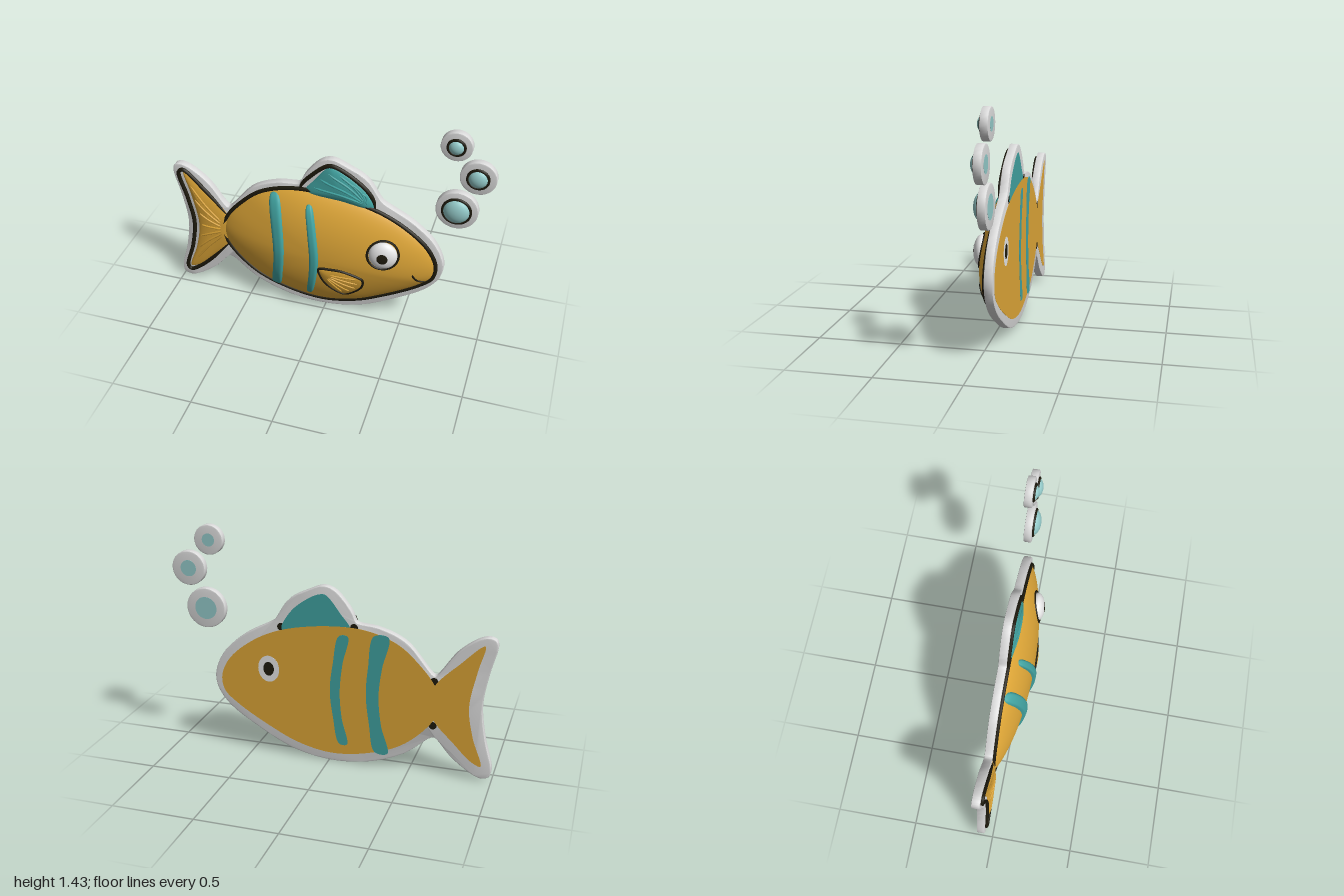
import * as THREE from 'three';
import { toCreasedNormals } from 'three/addons/utils/BufferGeometryUtils.js';

const mat = (name, color) => Object.assign(new THREE.MeshStandardMaterial({ color }), { name });

// Smooth 2D line through a few [x, y] points
function smooth(pts, closed = true, n = 120) {
  const c = new THREE.CatmullRomCurve3(pts.map(([x, y]) => new THREE.Vector3(x, y, 0)), closed, 'centripetal');
  const out = c.getPoints(n).map(p => new THREE.Vector2(p.x, p.y));
  if (closed) {
    out.pop();
    if (THREE.ShapeUtils.isClockWise(out)) out.reverse();
  }
  return out;
}

// Puffed surface over a closed outline, with a height lookup for draping details
function pillow(outline, cx, cy, rise, base, power = 0.75) {
  const rel = outline.map(p => new THREE.Vector2(p.x - cx, p.y - cy));
  const n = rel.length, rings = 18;
  const bulge = s => rise * Math.pow(Math.max(0, 1 - s * s), power);
  const height = (x, y) => {
    const d = new THREE.Vector2(x - cx, y - cy);
    let s = 0;
    rel.forEach((p, i) => {
      const q = rel[(i + 1) % n];
      if (p.cross(d) >= 0 && d.cross(q) >= 0 && p.cross(q) > 0) {
        s = Math.max(s, d.cross(q.clone().sub(p)) / p.cross(q));
      }
    });
    return base(x, y) + bulge(s);
  };
  const pos = [], index = [];
  for (let j = 0; j <= rings; j++) {
    const s = Math.sin((j / rings) * Math.PI / 2);
    rel.forEach((p, i) => {
      const x = cx + p.x * s, y = cy + p.y * s;
      pos.push(x, y, base(x, y) + bulge(s));
      if (j < rings) {
        const a = j * n + i, d = j * n + (i + 1) % n;
        if (j > 0) index.push(a, d + n, d);
        index.push(a, a + n, d + n);
      }
    });
  }
  const geometry = new THREE.BufferGeometry();
  geometry.setAttribute('position', new THREE.Float32BufferAttribute(pos, 3));
  geometry.setIndex(index);
  geometry.computeVertexNormals();
  return { geometry, height };
}

// Round cord laid on a surface; open cords taper at both ends
function strand(line, height, r, closed = false) {
  const path = new THREE.CatmullRomCurve3(line.map(p => new THREE.Vector3(p.x, p.y, height(p.x, p.y))), closed);
  const n = line.length * 2, g = new THREE.TubeGeometry(path, n, r, 6, closed);
  if (!closed) {
    const a = g.attributes.position, v = new THREE.Vector3();
    for (let i = 0; i <= n; i++) {
      const c = path.getPointAt(i / n), k = Math.min(1, Math.sqrt(Math.min(i, n - i) / n * 8));
      for (let j = 0; j < 7; j++) {
        v.fromBufferAttribute(a, i * 7 + j).sub(c).multiplyScalar(k).add(c);
        a.setXYZ(i * 7 + j, v.x, v.y, v.z);
      }
    }
  }
  return g;
}

// Raised band draped over the body; rows are [x, y, width] from top to bottom
function bandGeometry(rows, height) {
  const spine = new THREE.CatmullRomCurve3(rows.map(r => new THREE.Vector3(...r)));
  const n = 40, m = 10, pos = [], index = [];
  for (let i = 0; i <= n; i++) {
    const v = i / n, p = spine.getPoint(v), end = Math.pow(Math.max(0, 1 - Math.abs(2 * v - 1) ** 14), 0.5);
    for (let j = 0; j <= m; j++) {
      const u = 2 * j / m - 1, x = p.x + u * p.z * 0.5 * end;
      pos.push(x, p.y, height(x, p.y) - 0.008 + 0.028 * end * Math.sqrt(1 - u ** 4));
      if (i < n && j < m) {
        const a = i * (m + 1) + j, b = a + m + 1;
        index.push(a, b, b + 1, a, b + 1, a + 1);
      }
    }
  }
  const g = new THREE.BufferGeometry();
  g.setAttribute('position', new THREE.Float32BufferAttribute(pos, 3));
  g.setIndex(index);
  g.computeVertexNormals();
  return g;
}

export function createModel() {
  const group = new THREE.Group();
  const plate = mat('plate grey', 0xdadada), gold = mat('gold', 0xdea637), teal = mat('teal', 0x41a3a1);
  const pale = mat('pale teal', 0x94cac9), ink = mat('ink', 0x1e1a0d), white = mat('eye white', 0xf2f2f2);
  const add = (name, geometry, material) => {
    const mesh = new THREE.Mesh(geometry, material);
    mesh.name = name;
    group.add(mesh);
    return mesh;
  };
  const flat = z => () => z;
  const slab = (outline, z, depth, bevel = 0) => toCreasedNormals(new THREE.ExtrudeGeometry(new THREE.Shape(outline), {
    depth: depth - 2 * bevel, bevelEnabled: bevel > 0, bevelThickness: bevel, bevelSize: bevel, bevelOffset: -bevel, bevelSegments: 2,
  }).translate(0, 0, z + bevel), 0.6);
  const circle = (x, y, r, ry = r) => Array.from({ length: 40 }, (_, i) =>
    new THREE.Vector2(x + r * Math.cos(i * Math.PI / 20), y + ry * Math.sin(i * Math.PI / 20)));
  // Flat paint on the back, stacked by layer
  const backPaint = (name, outline, layer, material) => add(name, slab(outline, -0.1 - layer * 0.0008, 0.003), material);

  // Backing plate in the fish silhouette
  add('backingPlate', slab(smooth([
    [-0.95, 0.905], [-0.985, 0.89], [-0.995, 0.85], [-0.955, 0.68], [-0.925, 0.48], [-0.95, 0.28], [-0.998, 0.08],
    [-0.985, 0.035], [-0.94, 0.02], [-0.885, 0.04], [-0.76, 0.13], [-0.655, 0.245], [-0.635, 0.245], [-0.47, 0.115],
    [-0.26, 0.03], [-0.02, 0.004], [0.22, 0.045], [0.435, 0.15], [0.65, 0.295], [0.725, 0.4], [0.738, 0.5],
    [0.675, 0.645], [0.54, 0.77], [0.355, 0.875], [0.335, 0.895], [0.25, 1.02], [0.125, 1.09], [0.035, 1.122],
    [-0.035, 1.1], [-0.135, 0.985], [-0.165, 0.92], [-0.18, 0.912], [-0.31, 0.895], [-0.47, 0.825], [-0.635, 0.64],
    [-0.65, 0.64], [-0.77, 0.8], [-0.89, 0.89]], true, 240), -0.1, 0.05, 0.006), plate);

  // Body
  const bodyLine = smooth([
    [-0.68, 0.47], [-0.645, 0.58], [-0.55, 0.7], [-0.42, 0.81], [-0.23, 0.875], [0, 0.88], [0.3, 0.825], [0.49, 0.735],
    [0.64, 0.605], [0.695, 0.485], [0.68, 0.39], [0.595, 0.31], [0.38, 0.18], [0.195, 0.095], [-0.02, 0.055],
    [-0.26, 0.09], [-0.47, 0.18], [-0.645, 0.36]]);
  const body = pillow(bodyLine, 0, 0.47, 0.137, flat(-0.05));
  add('body', body.geometry, gold);
  add('bodyOutline', strand(bodyLine, flat(-0.045), 0.013, true), ink);

  // Tail with raised rays
  const tailLine = smooth([[-0.64, 0.57], [-0.79, 0.735], [-0.925, 0.855], [-0.89, 0.7], [-0.85, 0.47], [-0.88, 0.28],
    [-0.935, 0.1], [-0.88, 0.12], [-0.77, 0.225], [-0.64, 0.37], [-0.63, 0.47]]);
  const tail = pillow(tailLine, -0.74, 0.47, 0.022, flat(-0.049), 0.6);
  add('tail', tail.geometry, gold);
  for (const [x, y] of [[-0.88, 0.76], [-0.86, 0.66], [-0.835, 0.56], [-0.825, 0.47], [-0.84, 0.38], [-0.865, 0.28], [-0.885, 0.18]]) {
    add('tailRay', strand(smooth([[-0.69, 0.47 + (y - 0.47) * 0.2], [(x - 0.69) / 2, 0.47 + (y - 0.47) * 0.55], [x, y]], false, 10), tail.height, 0.007), gold);
  }
  add('tailOutline', strand(smooth([[-0.645, 0.575], [-0.79, 0.745], [-0.925, 0.87], [-0.955, 0.85], [-0.91, 0.66],
    [-0.88, 0.48], [-0.905, 0.29], [-0.955, 0.1], [-0.935, 0.075], [-0.88, 0.105], [-0.77, 0.21], [-0.645, 0.36]], false), flat(-0.045), 0.013), ink);

  // Dorsal fin
  const finLine = smooth([[-0.13, 0.87], [-0.07, 0.965], [0.02, 1.07], [0.06, 1.07], [0.125, 1.04], [0.235, 0.95], [0.295, 0.83], [0.1, 0.84]]);
  const fin = pillow(finLine, 0.09, 0.92, 0.034, flat(-0.05), 0.6);
  add('dorsalFin', fin.geometry, teal);
  for (const [x, y] of [[-0.07, 0.92], [-0.035, 0.985], [0.02, 1.035], [0.09, 1.035], [0.16, 0.99], [0.22, 0.935]]) {
    add('dorsalRay', strand(smooth([[x, y], [(x + 0.26) / 2 + 0.01, (y + 0.86) / 2 + 0.015], [0.26, 0.86]], false, 10), fin.height, 0.007), teal);
  }
  add('dorsalOutline', strand(smooth([[-0.165, 0.865], [-0.15, 0.92], [-0.09, 0.995], [0, 1.075], [0.04, 1.085], [0.125, 1.052],
    [0.25, 0.958], [0.295, 0.89], [0.31, 0.825]], false), flat(-0.045), 0.013), ink);

  // Stripes, draped on the front and painted on the back
  const stripes = [
    [[-0.32, 0.845, 0.09], [-0.285, 0.65, 0.085], [-0.27, 0.47, 0.078], [-0.29, 0.28, 0.075], [-0.33, 0.1, 0.08]],
    [[-0.09, 0.825, 0.055], [-0.055, 0.65, 0.06], [-0.037, 0.47, 0.062], [-0.053, 0.3, 0.055], [-0.09, 0.125, 0.05]]];
  for (const rows of stripes) {
    add('stripe', bandGeometry(rows, body.height), teal);
    const edge = side => rows.map(([x, y, w]) => [x + side * w / 2, y]);
    backPaint('backStripe', smooth([...edge(-1), ...edge(1).reverse()]), 2, teal);
  }

  // Side fin with rays
  const sideLine = smooth([[-0.005, 0.4], [0.07, 0.412], [0.15, 0.408], [0.262, 0.36], [0.27, 0.33], [0.25, 0.27], [0.15, 0.188],
    [0.11, 0.205], [0.045, 0.265], [0.005, 0.34]]);
  const sideFin = pillow(sideLine, 0.13, 0.31, 0.016, (x, y) => body.height(x, y) + 0.001, 0.5);
  add('sideFin', sideFin.geometry, gold);
  add('sideFinOutline', strand(sideLine, (x, y) => body.height(x, y) + 0.004, 0.008, true), ink);
  for (const [x, y] of [[0.23, 0.36], [0.24, 0.315], [0.225, 0.27], [0.185, 0.235], [0.14, 0.22]]) {
    add('sideFinRay', strand(smooth([[0.02 + x * 0.2, 0.375 + (y - 0.375) * 0.25], [x, y]], false, 8), sideFin.height, 0.006), gold);
  }

  // Eye
  const [ex, ey] = [0.385, 0.565], ez = body.height(ex, ey) - 0.004;
  const eye = new THREE.Group();
  eye.name = 'eye';
  for (const [name, arc, size, material] of [['eyeball', Math.PI / 2 + 0.5, 1, white], ['pupil', 0.38, 1.025, ink]]) {
    const m = new THREE.Mesh(new THREE.SphereGeometry(1, 36, 16, 0, Math.PI * 2, 0, arc)
      .rotateX(Math.PI / 2).scale(0.088 * size, 0.092 * size, 0.046 * size), material);
    m.name = name;
    eye.add(m);
  }
  eye.position.set(ex, ey, ez);
  eye.rotation.set(-0.05, 0.12, 0);
  group.add(eye);
  add('eyeRim', strand(circle(ex, ey, 0.093, 0.096), body.height, 0.008, true), ink);

  // Mouth
  add('mouth', strand(smooth([[0.565, 0.43], [0.578, 0.4], [0.6, 0.375], [0.64, 0.36]], false, 16), body.height, 0.007), ink);

  // Bubbles on their own round plates: x, y, plate radius, bubble radius, rise
  for (const [x, y, R, r, rise] of [[0.75, 1.343, 0.091, 0.044, 0.03], [0.888, 1.158, 0.106, 0.056, 0.033], [0.785, 0.915, 0.125, 0.078, 0.043]]) {
    add('bubblePlate', slab(circle(x, y, R), -0.1, 0.046, 0.005), plate);
    add('bubble', pillow(circle(x, y, r), x, y, rise, flat(-0.054), 0.5).geometry, pale);
    add('bubbleRim', strand(circle(x, y, r + 0.004), flat(-0.051), 0.009, true), ink);
    backPaint('backBubble', circle(x, y, r * 0.9), 1, pale);
  }

  // Painted back of the fish
  for (const [x, y] of [[-0.64, 0.605], [-0.64, 0.325], [-0.155, 0.885], [0.3, 0.845]]) {
    backPaint('backJoint', circle(x, y, 0.024), 0.7, ink);
  }
  backPaint('backBody', bodyLine, 1.2, gold);
  backPaint('backTail', tailLine, 1, gold);
  backPaint('backFin', finLine, 1, teal);
  backPaint('backEye', circle(ex, ey, 0.068, 0.085), 2, white);
  backPaint('backPupil', circle(ex, ey, 0.034, 0.045), 3, ink);
  return group;
}
